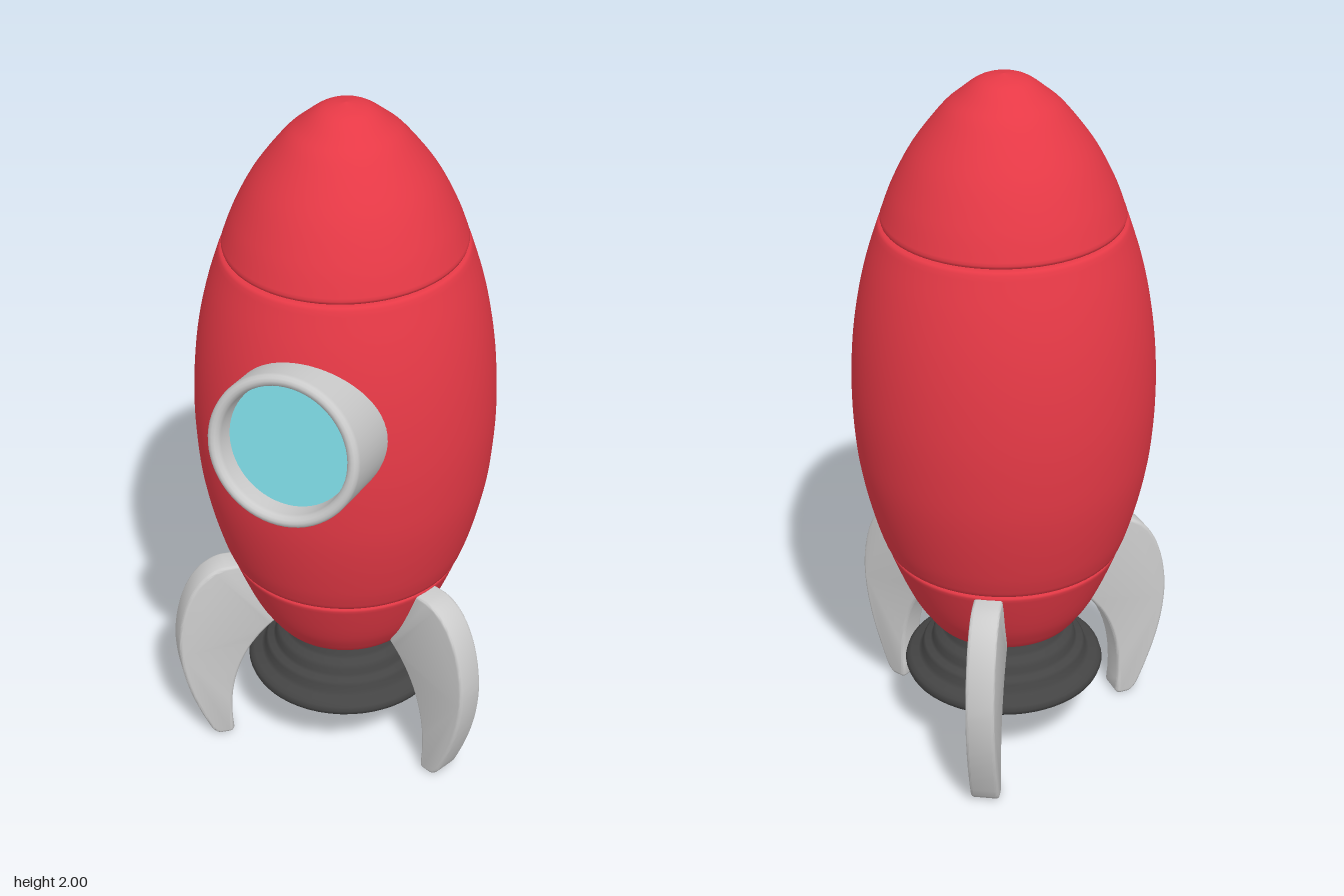
import * as THREE from 'three';
import { toCreasedNormals } from 'three/addons/utils/BufferGeometryUtils.js';

const AXIS_Z = -0.03;
const mat = (color, side = THREE.FrontSide) => new THREE.MeshStandardMaterial({ color, side });
const v2 = ([x, y]) => new THREE.Vector2(x, y);

// Smooth curve through a few [radius, y] points
const smooth = (pts, n = 32) => new THREE.SplineCurve(pts.map(v2)).getPoints(n);

function addMesh(parent, name, geometry, material) {
  const mesh = new THREE.Mesh(geometry, material);
  mesh.name = name;
  parent.add(mesh);
  return mesh;
}

// Hull section: lathe that grows slightly deeper than wide towards the nose
function hullGeometry(points) {
  const geo = new THREE.LatheGeometry(points, 72);
  const p = geo.attributes.position;
  for (let i = 0; i < p.count; i++) {
    p.setZ(i, p.getZ(i) * (1 + 0.09 * THREE.MathUtils.smoothstep(p.getY(i), 1.1, 1.6)));
  }
  return geo;
}

export function createModel() {
  const model = new THREE.Group();
  model.name = 'rocket';
  const red = mat(0xe63946);
  const grey = mat(0xcccccc);
  const dark = mat(0x444444);

  const rocket = new THREE.Group();
  rocket.name = 'rocketBody';
  rocket.position.z = AXIS_Z;
  model.add(rocket);

  // Hull in three sections, separated by narrow grooves
  addMesh(rocket, 'tailSection', hullGeometry([
    v2([0, 0.375]), v2([0.17, 0.375]), v2([0.195, 0.378]), v2([0.21, 0.385]),
    ...smooth([[0.222, 0.4], [0.255, 0.45], [0.28, 0.5], [0.305, 0.56], [0.326, 0.615]], 16),
    v2([0.326, 0.622]), v2([0.32, 0.627]), v2([0.29, 0.628]),
  ]), red);
  addMesh(rocket, 'mainSection', hullGeometry([
    v2([0.29, 0.627]), v2([0.325, 0.629]), v2([0.333, 0.634]),
    ...smooth([[0.338, 0.645], [0.357, 0.7], [0.383, 0.8], [0.402, 0.9], [0.412, 1.0], [0.416, 1.1],
      [0.413, 1.2], [0.404, 1.3], [0.388, 1.4], [0.364, 1.5], [0.333, 1.597]], 48),
    v2([0.328, 1.604]), v2([0.318, 1.607]), v2([0.29, 1.608]),
  ]), red);
  addMesh(rocket, 'noseCone', hullGeometry([
    v2([0.29, 1.607]), v2([0.315, 1.608]), v2([0.323, 1.612]),
    ...smooth([[0.325, 1.62], [0.295, 1.7], [0.243, 1.8], [0.168, 1.9], [0.12, 1.945], [0.065, 1.985], [0, 2.0]], 40),
  ]), red);

  // Stepped engine nozzle with a closed base
  addMesh(rocket, 'engineNozzle', new THREE.LatheGeometry([
    [0, 0.195], [0.255, 0.195], [0.272, 0.197], [0.283, 0.205], [0.288, 0.218], [0.284, 0.232], [0.272, 0.24],
    [0.25, 0.244], [0.24, 0.252], [0.237, 0.272], [0.23, 0.28], [0.214, 0.284], [0.208, 0.292], [0.206, 0.308],
    [0.198, 0.32], [0.182, 0.328], [0.176, 0.336], [0.174, 0.352], [0.168, 0.362], [0.166, 0.39],
  ].map(v2), 56), dark);

  // Three curved fins, one at the back and two towards the front
  const fin = new THREE.Shape();
  fin.moveTo(0.22, 0.4);
  fin.bezierCurveTo(0.3, 0.34, 0.375, 0.22, 0.353, 0.015);
  fin.quadraticCurveTo(0.355, 0, 0.37, 0);
  fin.lineTo(0.395, 0);
  fin.quadraticCurveTo(0.412, 0.005, 0.425, 0.03);
  fin.bezierCurveTo(0.478, 0.15, 0.507, 0.25, 0.506, 0.36);
  fin.bezierCurveTo(0.5, 0.48, 0.455, 0.605, 0.36, 0.617);
  fin.lineTo(0.32, 0.617);
  fin.lineTo(0.26, 0.5);
  const finGeo = new THREE.ExtrudeGeometry(fin, {
    depth: 0.062, curveSegments: 16, bevelThickness: 0.009, bevelSize: 0.009, bevelOffset: -0.009, bevelSegments: 3,
  });
  finGeo.translate(0, 0, -0.031);
  const finSmooth = toCreasedNormals(finGeo, 0.7);
  [['backFin', 90], ['leftFin', -30], ['rightFin', 210]].forEach(([name, deg]) => {
    addMesh(rocket, name, finSmooth, grey).rotation.y = THREE.MathUtils.degToRad(deg);
  });

  // Porthole tilted slightly up and to the right; its own axis is local +z
  const porthole = new THREE.Group();
  porthole.name = 'porthole';
  porthole.position.set(-0.023, 1.269, 0.5);
  porthole.lookAt(-0.023 - 0.133, 1.269 + 0.167, 1.5);
  model.add(porthole);

  // Tube with a rounded rim
  const frame = new THREE.LatheGeometry([
    [0.21, -0.22], [0.21, -0.02], [0.208, -0.009], [0.202, -0.002], [0.194, 0], [0.186, -0.002],
    [0.179, -0.009], [0.176, -0.02], [0.172, -0.08],
  ].map(v2), 64);
  frame.rotateX(Math.PI / 2);
  addMesh(porthole, 'portholeFrame', frame, mat(0xcccccc, THREE.DoubleSide));

  const glass = addMesh(porthole, 'portholeGlass', new THREE.CircleGeometry(0.175, 64), mat(0x7fdbe6));
  glass.position.z = -0.065;

  return model;
}
